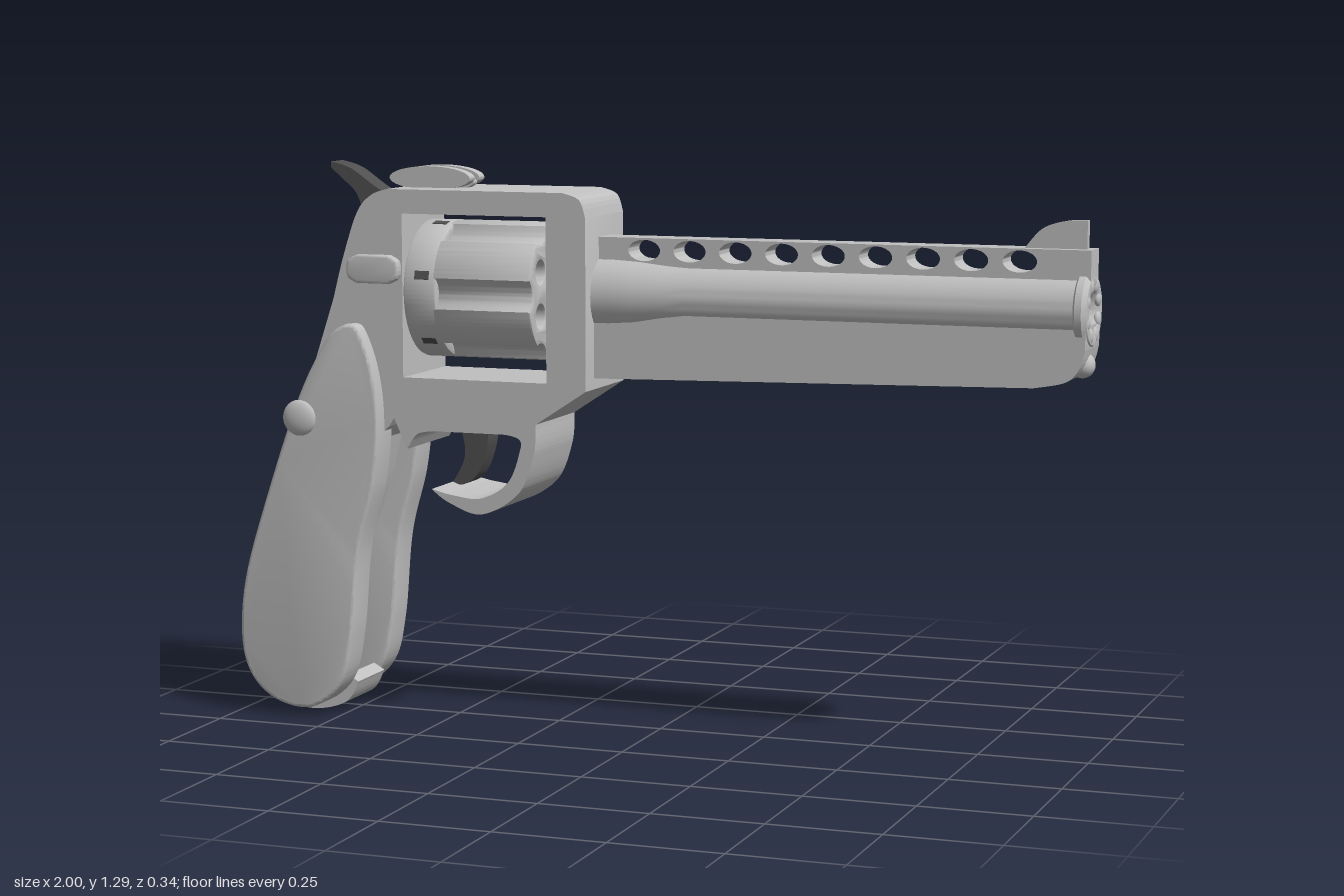
import * as THREE from 'three';
import { toCreasedNormals } from 'three/addons/utils/BufferGeometryUtils.js';

const steel = new THREE.MeshStandardMaterial({ color: 0xc0c0c0 });
steel.name = 'light steel';
const dark = new THREE.MeshStandardMaterial({ color: 0x505050 });
dark.name = 'dark steel';

// Outline from [x, y] corners; a nested list of points is a smooth run.
function outline(items) {
  const s = new THREE.Shape();
  s.moveTo(...items[0]);
  for (const it of items.slice(1)) {
    if (Array.isArray(it[0])) s.splineThru(it.map(p => new THREE.Vector2(...p)));
    else s.lineTo(...it);
  }
  s.closePath();
  return s;
}

// Plate between z0 and z1, optionally with softened edges.
function plate(shape, z0, z1, bevel = 0) {
  const g = new THREE.ExtrudeGeometry(shape, {
    depth: z1 - z0 - 2 * bevel, curveSegments: 24, bevelEnabled: bevel > 0,
    bevelSize: bevel, bevelOffset: -bevel, bevelThickness: bevel, bevelSegments: 3,
  });
  g.translate(0, 0, z0 + bevel);
  return toCreasedNormals(g, 0.6);
}

function ellipse(x, y, rx, ry, Kind = THREE.Shape) {
  const s = new Kind();
  s.absellipse(x, y, rx, ry, 0, Math.PI * 2, false);
  return s;
}

// Turned part along x from [radius, x] points.
function turned(points, y = 1) {
  const g = new THREE.LatheGeometry(points.map(p => new THREE.Vector2(...p)), 48);
  g.rotateZ(-Math.PI / 2);
  g.translate(0, y, 0);
  return toCreasedNormals(g, 0.6);
}

export function createModel() {
  const model = new THREE.Group();
  const add = (name, geometry, material = steel, parent = model) => {
    const m = new THREE.Mesh(geometry, material);
    m.name = name;
    parent.add(m);
    return m;
  };

  // Frame with window and trigger guard
  const frame = outline([
    [-0.62, 1.235], [-0.19, 1.235], [[-0.15, 1.22], [-0.135, 1.18]], [-0.135, 0.79], [-0.257, 0.71],
    [[-0.262, 0.64], [-0.3, 0.55], [-0.39, 0.498], [-0.47, 0.52], [-0.515, 0.55]],
    [[-0.46, 0.538], [-0.39, 0.535], [-0.325, 0.575], [-0.295, 0.65], [-0.298, 0.675], [-0.33, 0.684]],
    [-0.51, 0.684], [[-0.55, 0.675], [-0.575, 0.64]], [-0.607, 0.71], [-0.62, 0.69],
  ]);
  const win = new THREE.Path();
  win.moveTo(-0.583, 0.805).lineTo(-0.23, 0.805).lineTo(-0.23, 1.18).lineTo(-0.583, 1.18).closePath();
  frame.holes.push(win);
  add('frame', plate(frame, -0.12, 0.12));

  // Rear frame: two cheeks with a hammer slot between them
  const cheek = outline([
    [-0.62, 1.235], [[-0.66, 1.22], [-0.695, 1.18], [-0.73, 1.08], [-0.757, 0.98]],
    [-0.8, 0.85], [-0.85, 0.7], [-0.7, 0.62], [-0.62, 0.69],
  ]);
  add('cheekLeft', plate(cheek, 0.042, 0.12));
  add('cheekRight', plate(cheek, -0.12, -0.042));
  add('rearFrameCore', plate(outline([
    [-0.62, 1.1], [-0.7, 1.02], [-0.757, 0.96], [-0.85, 0.7], [-0.7, 0.62], [-0.62, 0.69]]), -0.042, 0.042));

  // Grip strap with toe, and narrow inner web
  add('gripStrap', plate(outline([
    [-0.77, 0.95],
    [[-0.84, 0.75], [-0.94, 0.46], [-0.985, 0.28], [-0.998, 0.18], [-0.975, 0.08], [-0.92, 0.02], [-0.84, 0.003],
      [-0.76, 0.025], [-0.728, 0.075]],
    [-0.755, 0.09], [-0.8, 0.07], [-0.83, 0.12], [-0.77, 0.4], [-0.7, 0.65]]), -0.073, 0.073));
  add('gripWeb', plate(outline([
    [-0.82, 0.09], [-0.8, 0.1], [[-0.77, 0.25], [-0.74, 0.4], [-0.69, 0.55], [-0.65, 0.7]], [-0.75, 0.7]]), -0.045, 0.045));

  // Grip panels and their domed screws
  const grip = outline([
    [-0.715, 0.925],
    [[-0.68, 0.915], [-0.645, 0.82], [-0.632, 0.7], [-0.645, 0.56], [-0.685, 0.4], [-0.705, 0.2], [-0.735, 0.085],
      [-0.81, 0.025], [-0.9, 0.035], [-0.965, 0.09], [-0.99, 0.18], [-0.978, 0.32], [-0.925, 0.5],
      [-0.835, 0.75], [-0.76, 0.89], [-0.715, 0.925]],
  ]);
  for (const side of [1, -1]) {
    const name = side > 0 ? 'Left' : 'Right';
    add('grip' + name, side > 0 ? plate(grip, 0.073, 0.157, 0.008) : plate(grip, -0.157, -0.073, 0.008));
    const dome = add('gripScrew' + name, new THREE.SphereGeometry(0.042, 24, 16));
    dome.scale.z = 0.4;
    dome.position.set(-0.83, 0.705, side * 0.155);
  }

  // Fluted drum with chambers
  const drum = new THREE.Group();
  drum.name = 'drum';
  model.add(drum);
  const drumShape = fluted => {
    const s = new THREE.Shape();
    const R = 0.152, c = 0.175, a = 0.045;
    for (let i = 0; i < 180; i++) {
      const t = i * Math.PI / 90;
      const d = ((t + Math.PI / 6) % (Math.PI / 3)) - Math.PI / 6;
      const q = a * a - (c * Math.sin(d)) ** 2;
      const r = fluted && q > 0 ? Math.min(R, c * Math.cos(d) - Math.sqrt(q)) : R;
      s[i ? 'lineTo' : 'moveTo'](r * Math.cos(t), r * Math.sin(t));
    }
    s.closePath();
    for (let i = 0; i < 6; i++) {
      const t = (i + 0.5) * Math.PI / 3;
      s.holes.push(ellipse(0.1 * Math.cos(t), 0.1 * Math.sin(t), 0.034, 0.034, THREE.Path));
    }
    return s;
  };
  const drumPart = (name, fluted, x0, x1) => {
    const g = new THREE.ExtrudeGeometry(drumShape(fluted), {
      depth: x1 - x0 - 0.012, bevelSize: 0.006, bevelThickness: 0.006, bevelSegments: 2, curveSegments: 12 });
    g.translate(0, 0, x0 + 0.006);
    g.rotateY(Math.PI / 2);
    g.translate(0, 1.003, 0);
    add(name, toCreasedNormals(g, 0.6), steel, drum);
  };
  drumPart('drumRear', false, -0.565, -0.485);
  drumPart('drumFront', true, -0.497, -0.255);
  add('axle', turned([[0, -0.59], [0.05, -0.59], [0.05, -0.55], [0.025, -0.55], [0.025, -0.25],
    [0.06, -0.25], [0.06, -0.225], [0, -0.225]]), steel, drum);
  for (let i = 0; i < 6; i++) {
    const t = (i + 0.25) * Math.PI / 3;
    const notch = add('drumNotch', new THREE.BoxGeometry(0.035, 0.004, 0.02), dark, drum);
    notch.position.set(-0.52, 1.003 + 0.157 * Math.cos(t), 0.157 * Math.sin(t));
    notch.rotation.x = t;
  }

  // Barrel with bore, flared at the frame
  add('barrel', turned([[0.09, -0.14], [0.09, -0.1], [0.087, -0.04], [0.08, 0.03], [0.077, 0.08], [0.077, 0.965],
    [0.085, 0.97], [0.085, 0.985], [0.075, 0.995], [0.06, 0.997], [0.045, 0.99], [0.034, 0.975], [0.034, 0.85], [0, 0.85]]));
  for (let i = 0; i < 8; i++) {
    const t = (i + 0.5) * Math.PI / 4;
    const lobe = add('muzzleLobe', new THREE.SphereGeometry(0.018, 12, 8));
    lobe.scale.x = 0.5;
    lobe.position.set(0.99, 1 + 0.058 * Math.sin(t), 0.058 * Math.cos(t));
  }

  // Vented rib
  const rib = outline([[-0.14, 1.06], [0.995, 1.06], [0.995, 1.133], [-0.14, 1.133]]);
  for (let i = 0; i < 9; i++) rib.holes.push(ellipse(-0.026 + i * 0.108, 1.105, 0.038, 0.024, THREE.Path));
  add('ventedRib', plate(rib, -0.036, 0.036));

  // Underlug with rod tip
  add('underlug', plate(outline([
    [-0.14, 0.97], [-0.14, 0.815], [0.88, 0.835], [[0.95, 0.85], [0.98, 0.88], [0.992, 0.92]], [0.992, 0.97]]), -0.068, 0.068));
  const tip = add('rodTip', new THREE.SphereGeometry(0.029, 20, 14));
  tip.position.set(0.971, 0.882, 0);

  // Sights
  add('frontSight', plate(outline([
    [0.84, 1.13], [[0.88, 1.175], [0.93, 1.192], [0.98, 1.195]], [0.98, 1.13]]), -0.01, 0.01));
  const sightShape = ellipse(-0.547, 1.257, 0.1, 0.027);
  add('rearSightLeft', plate(sightShape, 0.012, 0.043));
  add('rearSightRight', plate(sightShape, -0.043, -0.012));
  add('rearSightBase', plate(ellipse(-0.547, 1.247, 0.095, 0.022), -0.012, 0.012));
  const knob = add('sightKnob', new THREE.CylinderGeometry(0.014, 0.014, 0.014, 16), dark);
  knob.rotation.x = Math.PI / 2;
  knob.position.set(-0.525, 1.255, -0.049);

  // Hammer and trigger
  add('hammer', plate(outline([
    [-0.8, 1.29], [[-0.75, 1.275], [-0.69, 1.235], [-0.63, 1.2]], [-0.62, 1.06], [-0.7, 1.06],
    [[-0.715, 1.15], [-0.735, 1.215], [-0.77, 1.25], [-0.8, 1.275]]]), -0.032, 0.032), dark);
  add('trigger', plate(outline([
    [-0.485, 0.7], [-0.41, 0.7], [[-0.415, 0.64], [-0.44, 0.575], [-0.475, 0.55], [-0.5, 0.555]],
    [[-0.475, 0.6], [-0.47, 0.64], [-0.485, 0.7]]]), -0.03, 0.03), dark);

  // Release latch on the left, small screws on the right
  add('releaseLatch', plate(outline([
    [-0.69, 1.085], [-0.61, 1.085], [[-0.588, 1.07], [-0.588, 1.035], [-0.61, 1.02]],
    [-0.69, 1.02], [[-0.712, 1.035], [-0.712, 1.07], [-0.69, 1.085]]]), 0.115, 0.142, 0.006));
  for (const [x, y] of [[-0.18, 0.88], [-0.38, 0.755], [-0.575, 0.74], [-0.66, 1.07]]) {
    const screw = add('frameScrew', new THREE.CylinderGeometry(0.015, 0.015, 0.008, 16), dark);
    screw.rotation.x = Math.PI / 2;
    screw.position.set(x, y, -0.121);
  }
  return model;
}
